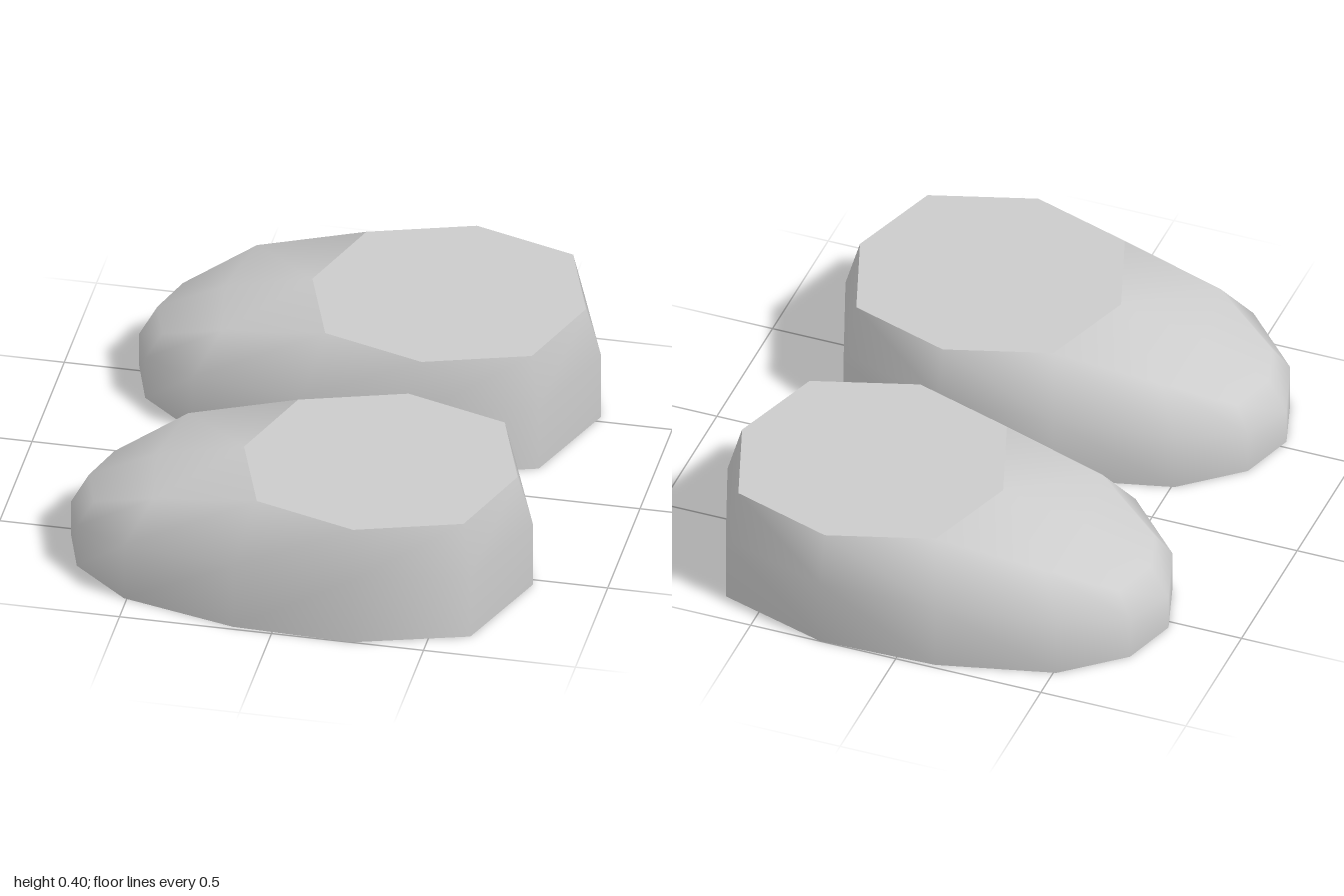
import * as THREE from 'three';

// Half outlines from heel to toe as [x, y, z]; the other half is mirrored in z
const SOLE = [[0.76, 0, 0], [0.63, 0, 0.355], [0.26, 0, 0.47], [-0.13, 0, 0.455], [-0.51, 0, 0.355], [-0.7, 0, 0.19], [-0.76, 0, 0]];
const SHOULDER_Y = [0.23, 0.23, 0.23, 0.23, 0.2, 0.15, 0.12];
const SHOULDER = SOLE.map(([x, , z], i) => [x, SHOULDER_Y[i], z]);
const RIM = [[0.71, 0.4, 0], [0.6, 0.4, 0.32], [0.26, 0.4, 0.43], [-0.08, 0.4, 0.32], [-0.43, 0.335, 0.27], [-0.65, 0.23, 0.16], [-0.7, 0.23, 0]];
// Ridge of the toe cap, from the ankle opening to the tip
const RIDGE = [[-0.19, 0.4, 0], [-0.48, 0.335, 0], [-0.7, 0.23, 0]];

const mirrorPoint = ([x, y, z]) => [x, y, -z];

// Indexed mesh geometry that shares equal points, so normals are smooth inside it
function surface(triangles) {
  const positions = [], index = [], seen = new Map();
  for (const p of triangles.flat()) {
    const key = p.map((v) => v.toFixed(4).replace('-0.0000', '0.0000')).join();
    if (!seen.has(key)) {
      seen.set(key, seen.size);
      positions.push(...p);
    }
    index.push(seen.get(key));
  }
  const geometry = new THREE.BufferGeometry();
  geometry.setAttribute('position', new THREE.Float32BufferAttribute(positions, 3));
  geometry.setIndex(index);
  geometry.computeVertexNormals();
  return geometry;
}

// Triangles between two half outlines, on both sides of the foot
function strip(lower, upper) {
  const half = [];
  for (let i = 0; i < lower.length - 1; i++) {
    const [a, b, c, d] = [lower[i], lower[i + 1], upper[i + 1], upper[i]];
    half.push([a, d, b]);
    if (c.some((v, k) => v !== b[k])) half.push([b, d, c]);
  }
  return [...half, ...half.map(([a, b, c]) => [a, c, b].map(mirrorPoint))];
}

// Flat polygon fan, facing up or down
function cap(half, up) {
  const loop = [...half, ...half.slice(1, -1).reverse().map(mirrorPoint)];
  const triangles = [];
  for (let i = 1; i < loop.length - 1; i++) {
    triangles.push(up ? [loop[0], loop[i + 1], loop[i]] : [loop[0], loop[i], loop[i + 1]]);
  }
  return surface(triangles);
}

export function createModel() {
  const model = new THREE.Group();
  model.name = 'pairOfFeet';
  const grey = new THREE.MeshStandardMaterial({ color: 0xcccccc });
  grey.name = 'lightGrey';

  const parts = {
    // rounded side wall and sloping toe cap
    upper: surface([
      ...strip(SOLE, SHOULDER),
      ...strip(SHOULDER, RIM),
      ...strip(RIM.slice(3, 6), RIDGE),
    ]),
    // flat eight-sided ankle face
    ankleTop: cap([...RIM.slice(0, 4), RIDGE[0]], true),
    // flat underside
    sole: cap(SOLE, false),
  };

  for (const [name, z] of [['frontFoot', 0.53], ['backFoot', -0.53]]) {
    const foot = new THREE.Group();
    foot.name = name;
    foot.position.z = z;
    for (const [part, geometry] of Object.entries(parts)) {
      const mesh = new THREE.Mesh(geometry, grey);
      mesh.name = part;
      foot.add(mesh);
    }
    model.add(foot);
  }
  return model;
}
